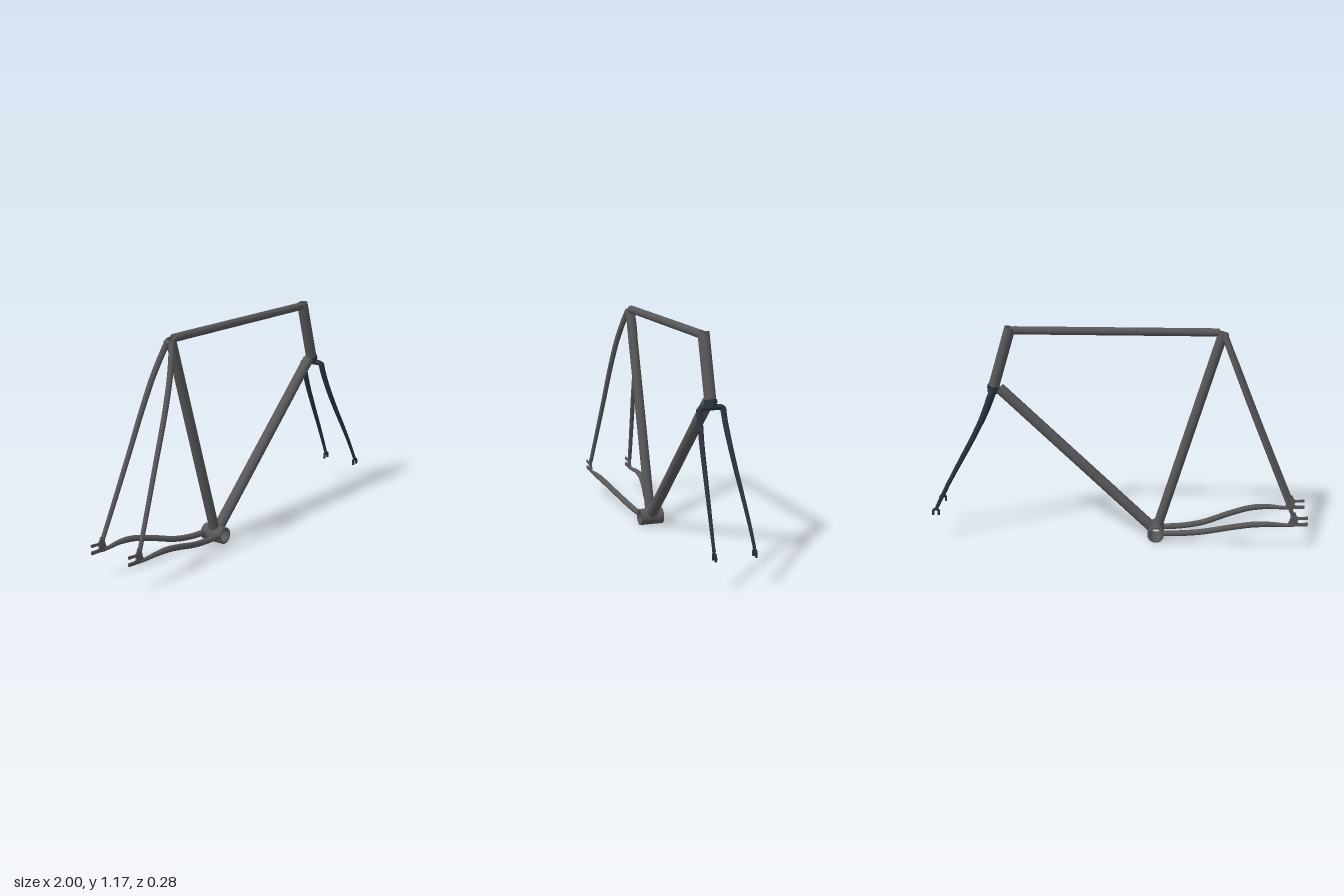
import * as THREE from 'three';

const V = (x, y, z = 0) => new THREE.Vector3(x, y, z);
const frameMat = new THREE.MeshStandardMaterial({ color: 0x57575a, side: THREE.DoubleSide });
const forkMat = new THREE.MeshStandardMaterial({ color: 0x2b323d, side: THREE.DoubleSide });

function add(group, name, geometry, material) {
  const mesh = new THREE.Mesh(geometry, material);
  mesh.name = name;
  group.add(mesh);
  return mesh;
}

// Places a y-axis geometry so that it runs from a to b
function alignTo(geometry, a, b) {
  const dir = b.clone().sub(a).normalize();
  geometry.applyQuaternion(new THREE.Quaternion().setFromUnitVectors(V(0, 1, 0), dir));
  return geometry.translate(a.x, a.y, a.z);
}

// Straight solid tube
function rod(a, b, r, r2 = r) {
  const len = a.distanceTo(b);
  return alignTo(new THREE.CylinderGeometry(r2, r, len, 32).translate(0, len / 2, 0), a, b);
}

// Straight hollow tube with a wall; each corner is doubled to keep rims sharp
function pipe(a, b, r, inner) {
  const len = a.distanceTo(b);
  const e = 1e-5;
  const profile = [[inner, 0], [inner + e, 0], [r - e, 0], [r, 0], [r, e], [r, len - e], [r, len], [r - e, len],
    [inner + e, len], [inner, len], [inner, len - e], [inner, e], [inner, 0]];
  return alignTo(new THREE.LatheGeometry(profile.map(([x, y]) => new THREE.Vector2(x, y)), 40), a, b);
}

// Curved tube whose radius follows radiusAt(t), with its z width scaled by flat
function taperedTube(points, radiusAt, flat = 1, segments = 48) {
  const sides = 16;
  const curve = new THREE.CatmullRomCurve3(points);
  const geometry = new THREE.TubeGeometry(curve, segments, 1, sides);
  const pos = geometry.attributes.position;
  const p = V(0, 0, 0);
  for (let i = 0; i <= segments; i++) {
    const centre = curve.getPointAt(i / segments);
    const r = radiusAt(i / segments);
    for (let j = 0; j <= sides; j++) {
      const k = i * (sides + 1) + j;
      p.fromBufferAttribute(pos, k).sub(centre).multiplyScalar(r);
      p.z *= flat;
      p.add(centre);
      pos.setXYZ(k, p.x, p.y, p.z);
    }
  }
  return geometry;
}

// Flat plate centred on a given z
function plate(shape, thickness, z) {
  return new THREE.ExtrudeGeometry(shape, { depth: thickness, bevelEnabled: false, curveSegments: 10 })
    .translate(0, 0, z - thickness / 2);
}

// Rear dropout: a plate with a slot open to the rear
function rearDropoutShape() {
  const s = new THREE.Shape();
  s.moveTo(-0.893, 0.137);
  s.lineTo(-1.0, 0.143);
  s.lineTo(-1.0, 0.16);
  s.lineTo(-0.956, 0.158);
  s.absarc(-0.956, 0.168, 0.01, -Math.PI / 2, Math.PI / 2, false);
  s.lineTo(-1.0, 0.18);
  s.lineTo(-1.0, 0.195);
  s.lineTo(-0.955, 0.19);
  s.quadraticCurveTo(-0.937, 0.192, -0.936, 0.215);
  s.lineTo(-0.91, 0.218);
  s.quadraticCurveTo(-0.912, 0.175, -0.893, 0.15);
  s.closePath();
  return s;
}

// Fork tip: a hook open at the bottom
function forkTipShape() {
  const s = new THREE.Shape();
  s.moveTo(0.953, 0.15);
  s.lineTo(0.953, 0.168);
  s.absarc(0.974, 0.168, 0.021, Math.PI, 0, true);
  s.lineTo(0.995, 0.15);
  s.lineTo(0.984, 0.15);
  s.lineTo(0.984, 0.167);
  s.absarc(0.974, 0.167, 0.01, 0, Math.PI, false);
  s.lineTo(0.964, 0.15);
  s.closePath();
  return s;
}

export function createModel() {
  const model = new THREE.Group();
  model.name = 'bicycleFrameset';
  const frame = new THREE.Group();
  frame.name = 'frame';
  const fork = new THREE.Group();
  fork.name = 'fork';
  model.add(frame, fork);

  // Main triangle, with the tubes stopping at the walls of the hollow shells
  const bb = V(-0.2, 0.045);
  const seatTop = V(-0.536, 1.15);
  const headTop = V(0.563, 1.16);
  const headBottom = V(0.657, 0.842);
  const downEnd = V(0.627, 0.832);
  const from = (a, b, d) => a.clone().add(b.clone().sub(a).setLength(d));
  add(frame, 'bottomBracketShell', pipe(V(-0.2, 0.045, -0.064), V(-0.2, 0.045, 0.064), 0.044, 0.034), frameMat);
  add(frame, 'seatTube', pipe(from(bb, seatTop, 0.035), seatTop, 0.026, 0.02), frameMat);
  add(frame, 'headTube', pipe(headBottom, headTop, 0.029, 0.023), frameMat);
  add(frame, 'topTube', rod(V(-0.516, 1.15), V(0.545, 1.145), 0.021), frameMat);
  add(frame, 'downTube', rod(from(bb, downEnd, 0.034), downEnd, 0.029), frameMat);
  add(frame, 'seatBinder', rod(V(-0.553, 1.134, -0.021), V(-0.553, 1.134, 0.021), 0.011), frameMat);

  // Fork crown stack
  const crown = V(0.665, 0.808);
  add(fork, 'lowerHeadsetRing', rod(from(headBottom, headTop, -0.014), from(headBottom, headTop, 0.004), 0.033), forkMat);
  add(fork, 'crownRace', rod(crown, headBottom, 0.027, 0.031), forkMat);
  const crownPoints = [[0.788, -0.063], [0.803, -0.06], [0.811, -0.045], [0.811, 0],
    [0.811, 0.045], [0.803, 0.06], [0.788, 0.063]];
  add(fork, 'forkCrown', taperedTube(crownPoints.map(([y, z]) => V(0.668 + (0.811 - y) * 0.35, y, z)), () => 0.0145), forkMat);

  for (const side of [1, -1]) {
    const label = side > 0 ? 'left' : 'right';
    const path = (list) => list.map(([x, y, z]) => V(x, y, z * side));

    // Rear stays, bowed outwards around the wheel
    add(frame, label + 'SeatStay', taperedTube(path([
      [-0.542, 1.14, 0.012], [-0.57, 1.065, 0.033], [-0.612, 0.96, 0.055], [-0.675, 0.8, 0.074],
      [-0.76, 0.59, 0.09], [-0.85, 0.37, 0.108], [-0.921, 0.2, 0.122],
    ]), (t) => 0.0155 - 0.0045 * t), frameMat);
    add(frame, label + 'ChainStay', taperedTube(path([
      [-0.238, 0.05, 0.047], [-0.34, 0.056, 0.053], [-0.45, 0.073, 0.066], [-0.6, 0.116, 0.1],
      [-0.71, 0.142, 0.119], [-0.8, 0.149, 0.125], [-0.87, 0.146, 0.123], [-0.925, 0.144, 0.121],
    ]), (t) => (t < 0.75 ? 0.0155 : 0.0155 - 0.03 * (t - 0.75))), frameMat);
    add(frame, label + 'RearDropout', plate(rearDropoutShape(), 0.008, 0.122 * side), frameMat);

    // Fork blade with its tip
    add(fork, label + 'ForkBlade', taperedTube(path([
      [0.667, 0.806, 0.062], [0.69, 0.742, 0.064], [0.724, 0.66, 0.07], [0.785, 0.54, 0.078],
      [0.87, 0.385, 0.09], [0.93, 0.27, 0.098], [0.966, 0.195, 0.102],
    ]), (t) => 0.0175 - 0.008 * t, 0.78), forkMat);
    add(fork, label + 'ForkTip', plate(forkTipShape(), 0.01, 0.102 * side), forkMat);
    add(fork, label + 'ForkBladeEnd', new THREE.SphereGeometry(0.009, 16, 12)
      .translate(0.966, 0.195, 0.102 * side), forkMat);
  }
  return model;
}
